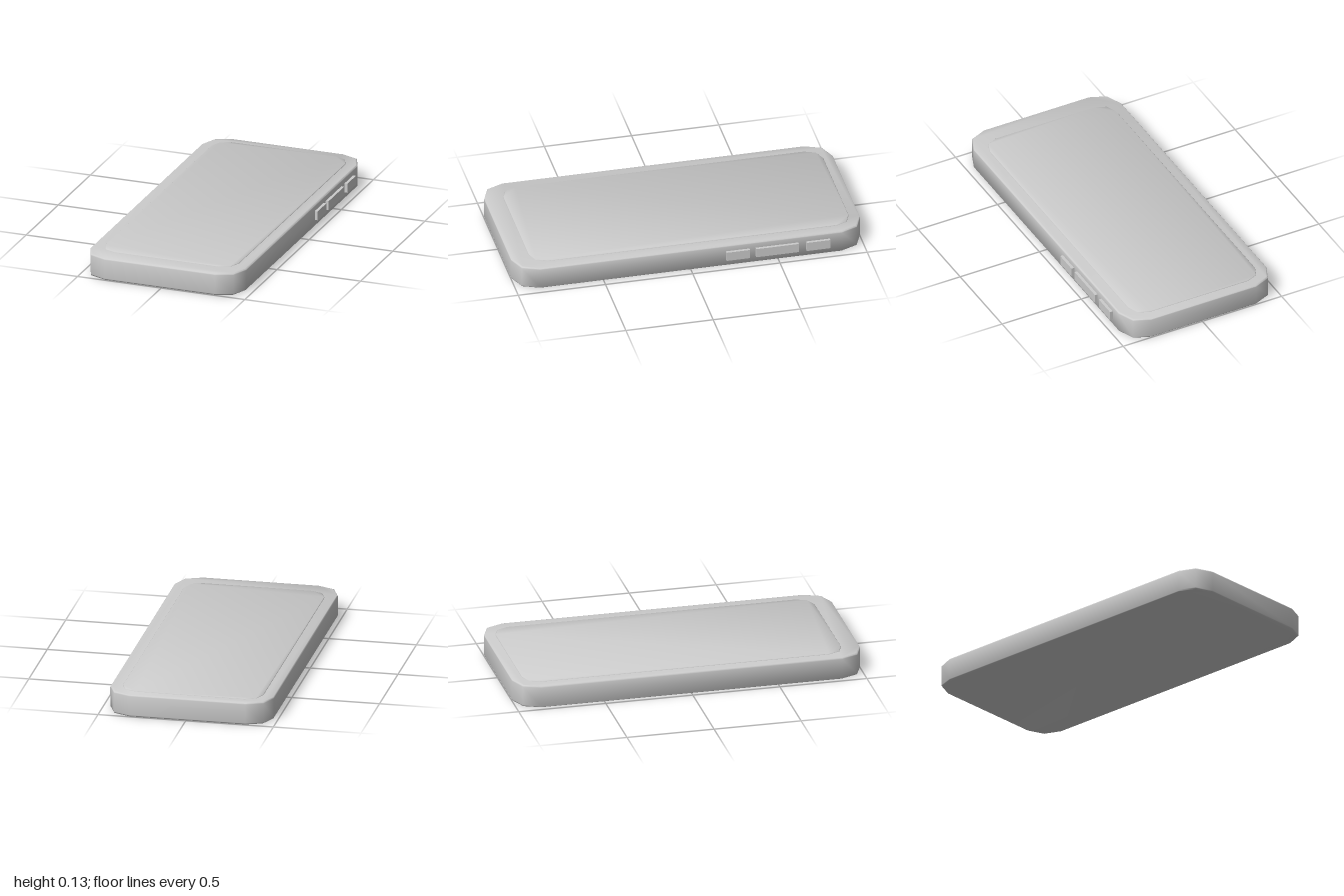
import * as THREE from 'three';
import { toCreasedNormals } from 'three/addons/utils/BufferGeometryUtils.js';

const material = new THREE.MeshStandardMaterial({ color: 0xcccccc });

// Rectangle whose corners are rounded with two straight facets each
function facetedRect(x0, x1, z0, z1, r) {
  const corners = [[x1 - r, z1 - r], [x0 + r, z1 - r], [x0 + r, z0 + r], [x1 - r, z0 + r]];
  const points = [];
  corners.forEach(([cx, cz], i) => {
    for (let k = 0; k <= 2; k++) {
      const a = (i + k / 2) * Math.PI / 2;
      points.push(new THREE.Vector2(cx + r * Math.cos(a), -(cz + r * Math.sin(a))));
    }
  });
  return new THREE.Shape(points);
}

// Horizontal slab from y0 to y1 with bevelled rims
function slab(name, shape, y0, y1, bevel, segments) {
  const geometry = new THREE.ExtrudeGeometry(shape, {
    depth: y1 - y0 - 2 * bevel, bevelThickness: bevel, bevelSize: bevel,
    bevelOffset: -bevel, bevelSegments: segments,
  });
  geometry.rotateX(-Math.PI / 2).translate(0, y0 + bevel, 0);
  const mesh = new THREE.Mesh(toCreasedNormals(geometry, 0.9), material);
  mesh.name = name;
  return mesh;
}

export function createModel() {
  const group = new THREE.Group();
  group.name = 'phone';

  // Body with softened edges, and a display standing just proud of it
  group.add(slab('body', facetedRect(-0.475, 0.457, -1, 1, 0.135), 0, 0.13, 0.01, 3));
  group.add(slab('screen', facetedRect(-0.412, 0.39, -0.94, 0.895, 0.09), 0.12, 0.133, 0.003, 1));

  // Three buttons along the left side
  const buttons = [['upperButton', -0.795, -0.66], ['middleButton', -0.615, -0.37], ['lowerButton', -0.335, -0.2]];
  for (const [name, z0, z1] of buttons) {
    const button = new THREE.Mesh(new THREE.BoxGeometry(0.035, 0.053, z1 - z0), material);
    button.name = name;
    button.position.set(0.4565, 0.0665, (z0 + z1) / 2);
    group.add(button);
  }
  return group;
}
